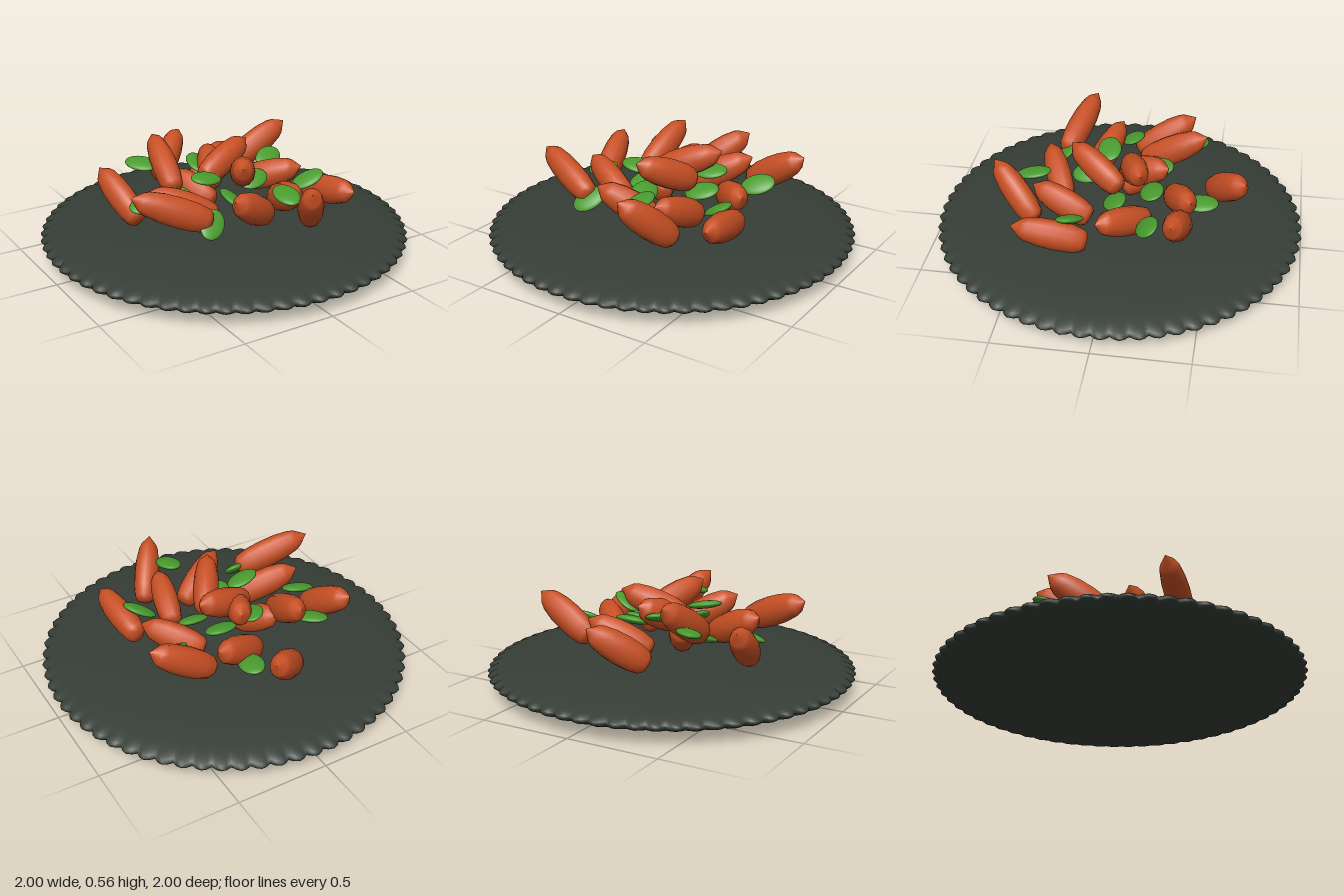
import * as THREE from 'three';

const orange = new THREE.MeshStandardMaterial({ name: 'carrotOrange', color: 0xc85024 });
const green = new THREE.MeshStandardMaterial({ name: 'leafGreen', color: 0x4a9c2e });
const slate = new THREE.MeshStandardMaterial({ name: 'slatePlate', color: 0x363e37 });

// Lens-shaped plate whose rim is pinched into scallops
function makePlate() {
  const scallops = 64;
  const geo = new THREE.SphereGeometry(1, scallops * 4, 40);
  const p = geo.attributes.position;
  for (let i = 0; i < p.count; i++) {
    const x = p.getX(i), y = p.getY(i), z = p.getZ(i);
    const r = Math.hypot(x, z);
    const rim = Math.max(0, (r - 0.9) / 0.1);
    const notch = 1 - Math.abs(Math.sin(Math.atan2(z, x) * scallops / 2));
    const k = 1 - 0.03 * rim * notch;
    p.setXYZ(i, x * k, y * 0.097 + 0.1, z * k);
  }
  geo.computeVertexNormals();
  const plate = new THREE.Mesh(geo, slate);
  plate.name = 'plate';
  return plate;
}

// Carrot piece: rounded butt at one end, faceted cone point at the other (unit length along +z)
const profile = [[0, 0], [0.045, 0.01], [0.065, 0.07], [0.078, 0.22], [0.082, 0.42],
  [0.078, 0.62], [0.064, 0.8], [0.05, 0.87], [0, 1]].map(([r, t]) => new THREE.Vector2(r, t));
const carrotGeo = new THREE.LatheGeometry(profile, 12).rotateX(Math.PI / 2);

function makeCarrot(butt, tip) {
  const a = new THREE.Vector3(...butt), b = new THREE.Vector3(...tip);
  const mesh = new THREE.Mesh(carrotGeo, orange);
  mesh.position.copy(a);
  mesh.lookAt(b);
  mesh.scale.set(0.84, 1, a.distanceTo(b));
  mesh.name = 'carrotPiece';
  return mesh;
}

// [butt], [tip]
const carrots = [
  [[-0.14, 0.25, -0.49], [0.10, 0.45, -0.68]],
  [[0.28, 0.30, -0.37], [0.62, 0.51, -0.34]],
  [[-0.04, 0.25, -0.28], [0.27, 0.42, -0.41]],
  [[-0.25, 0.33, -0.10], [-0.20, 0.54, -0.45]],
  [[-0.50, 0.23, -0.04], [-0.57, 0.44, -0.36]],
  [[-0.16, 0.26, 0.18], [-0.50, 0.42, 0.05]],
  [[-0.29, 0.32, 0.35], [-0.68, 0.49, 0.23]],
  [[0.10, 0.25, 0.28], [-0.19, 0.43, 0.42]],
  [[0.28, 0.24, 0.41], [0.11, 0.49, 0.66]],
  [[0.47, 0.27, 0.10], [0.51, 0.36, 0.49]],
  [[0.25, 0.26, 0.12], [0.18, 0.40, 0.44]],
  [[0.13, 0.38, -0.02], [-0.05, 0.53, 0.27]],
  [[-0.11, 0.39, -0.04], [0.23, 0.53, -0.14]],
  [[0.22, 0.27, -0.18], [0.47, 0.38, 0.06]],
  [[-0.07, 0.25, 0.00], [-0.19, 0.38, -0.24]],
  [[-0.07, 0.36, -0.01], [0.05, 0.48, -0.27]],
];

// Flat oval leaves: [x, y, z], heading about y, pitch along the length, roll across the width
const leafGeo = new THREE.SphereGeometry(1, 24, 14).scale(0.095, 0.022, 0.065);
const leaves = [
  [[-0.31, 0.41, -0.37], -0.9, -0.1, 0.2],
  [[0.10, 0.31, -0.45], 1.45, 0.1, 0.15],
  [[0.42, 0.36, -0.20], 0.4, 0.25, 0.6],
  [[-0.47, 0.33, -0.01], 0, 0.2, 0.3],
  [[-0.16, 0.44, 0.08], 0.25, -0.15, 0.2],
  [[0.41, 0.36, 0.20], -0.4, 0.45, 0.25],
  [[0.10, 0.42, 0.45], 1.5, 0.2, -0.1],
  [[-0.29, 0.31, 0.36], 0.7, 0.5, 0.6],
  [[0.19, 0.34, 0.00], 0.3, 0.2, 0.4],
  [[-0.06, 0.34, 0.18], 1.5, 0.2, 0.5],
  [[-0.05, 0.42, -0.20], 1.2, 0.2, 0.3],
  [[0.13, 0.38, -0.19], 0.2, 0.1, 0.3],
  [[-0.22, 0.30, -0.07], 0.9, 0.3, 0.2],
];

function makeLeaf([pos, heading, pitch, roll]) {
  const mesh = new THREE.Mesh(leafGeo, green);
  mesh.position.set(...pos);
  mesh.rotation.set(roll, heading, pitch, 'YZX');
  mesh.name = 'leaf';
  return mesh;
}

export function createModel() {
  const model = new THREE.Group();
  model.name = 'carrotSalad';
  const carrotPile = new THREE.Group();
  carrotPile.name = 'carrots';
  for (const [butt, tip] of carrots) carrotPile.add(makeCarrot(butt, tip));
  const leafPile = new THREE.Group();
  leafPile.name = 'leaves';
  for (const leaf of leaves) leafPile.add(makeLeaf(leaf));
  model.add(makePlate(), carrotPile, leafPile);
  return model;
}
